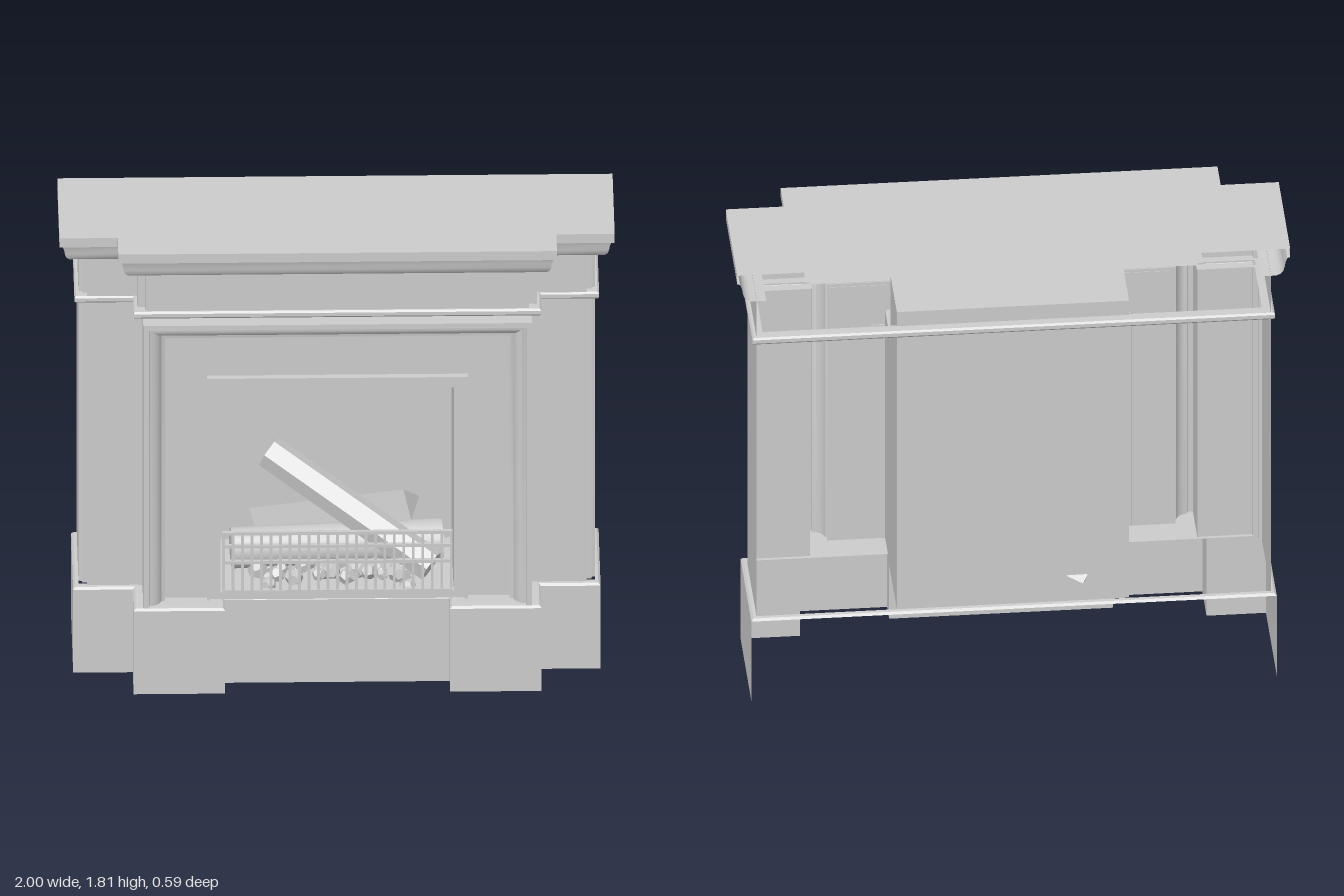
import * as THREE from 'three';
import { toCreasedNormals } from 'three/addons/utils/BufferGeometryUtils.js';

const grey = new THREE.MeshStandardMaterial({ color: 0xcccccc, side: THREE.DoubleSide });

// Ways of placing a swept point: a, b along the path plane, h across it
const PLAN = (a, b, h) => [a, h, b];
const FRONT = (a, b, h) => [a, b, h];
const SIDE = (a, b, h) => [h, b, a];

// Sweep a profile of [outward offset, height] along a mitred path
function sweep(path, profile, place, closed = false) {
  const n = path.length;
  const normal = (i) => {
    const p = path[(i + n) % n], q = path[(i + 1 + n) % n];
    const l = Math.hypot(q[0] - p[0], q[1] - p[1]);
    return [(q[1] - p[1]) / l, (p[0] - q[0]) / l];
  };
  const rings = path.map((p, i) => {
    const u = normal(!closed && i === 0 ? 0 : i - 1);
    const v = normal(!closed && i === n - 1 ? n - 2 : i);
    const k = 1 / (1 + u[0] * v[0] + u[1] * v[1]);
    const m = [(u[0] + v[0]) * k, (u[1] + v[1]) * k];
    return profile.map(([o, h]) => place(p[0] + m[0] * o, p[1] + m[1] * o, h));
  });
  const pos = [];
  for (let i = 0; i < (closed ? n : n - 1); i++) {
    const r = rings[i], s = rings[(i + 1) % n];
    for (let j = 0; j < profile.length - 1; j++) {
      pos.push(...r[j], ...r[j + 1], ...s[j], ...s[j], ...r[j + 1], ...s[j + 1]);
    }
  }
  const g = new THREE.BufferGeometry();
  g.setAttribute('position', new THREE.Float32BufferAttribute(pos, 3));
  return toCreasedNormals(g, 0.6);
}

const flip = (pts) => pts.map(([x, z]) => [-x, z]).reverse();
const mirrored = (pts) => [...pts, ...flip(pts)];
const shapeOf = (pts) => new THREE.Shape(pts.map(([x, y]) => new THREE.Vector2(x, y)));

// Flat horizontal sheet from a plan outline
const sheet = (pts, y) =>
  new THREE.ShapeGeometry(shapeOf(pts.map(([x, z]) => [x, -z]))).rotateX(-Math.PI / 2).translate(0, y, 0);

export function createModel() {
  const model = new THREE.Group();
  const add = (name, geometry, parent = model) => {
    const mesh = new THREE.Mesh(geometry, grey);
    mesh.name = name;
    parent.add(mesh);
    return mesh;
  };
  const box = (name, w, h, d, x, y, z, parent) =>
    add(name, new THREE.BoxGeometry(w, h, d).translate(x, y, z), parent);

  // Plinth with projecting blocks and a thin ledge all round
  const plinth = mirrored([[0.95, -0.295], [0.95, 0.13], [0.735, 0.13], [0.735, 0.295], [0.405, 0.295], [0.405, 0.215]]);
  add('plinth', sweep(plinth, [[0, 0], [0, 0.34]], PLAN));
  add('plinthLedge', sweep(plinth, [[0, 0.34], [-0.008, 0.348], [-0.02, 0.35]], PLAN, true));
  const blockTop = [[0.94, 0.1], [0.94, 0.12], [0.725, 0.12], [0.725, 0.285], [0.415, 0.285], [0.415, 0.1]];
  add('leftBlockTop', sheet(blockTop, 0.349));
  add('rightBlockTop', sheet(flip(blockTop), 0.349));

  // Side walls with rebated front corners
  const wing = [[0.93, -0.28], [0.93, 0.075], [0.918, 0.078], [0.918, 0.09], [0.9, 0.09], [0.9, 0.112], [0.7, 0.112]];
  const wall = [[0, 0.348], [0, 1.515]];
  add('leftWall', sweep(wing, wall, PLAN));
  add('rightWall', sweep(flip(wing), wall, PLAN));

  // Frieze and the band beneath it
  const frieze = mirrored([...wing.slice(0, 6), [0.72, 0.112], [0.72, 0.2], [0.69, 0.2], [0.69, 0.23]]);
  add('frieze', sweep(frieze, [[0, 1.51], [0, 1.7]], PLAN));
  const outline = mirrored([[0.935, -0.275], [0.935, 0.107], [0.725, 0.107], [0.725, 0.23]]);
  add('band', sweep(outline,
    [[-0.03, 1.51], [0.004, 1.51], [0.01, 1.517], [0.01, 1.531], [0.004, 1.538], [-0.03, 1.54]], PLAN, true));

  // Mantel shelf: rounded cornice, fascia and top
  const cornice = mirrored([[0.935, -0.28], [0.935, 0.105], [0.725, 0.105], [0.725, 0.23]]);
  add('cornice', sweep(cornice, [[-0.04, 1.695], [0.015, 1.695], [0.03, 1.702], [0.04, 1.714], [0.045, 1.73],
    [0.048, 1.75], [0.055, 1.768], [0.065, 1.77], [0.065, 1.807]], PLAN));
  add('mantelTop', sheet(mirrored([[1, -0.28], [1, 0.17], [0.79, 0.17], [0.79, 0.295]]), 1.807));

  // Moulded surround
  const surround = [[0.7, 0.348], [0.7, 1.508], [-0.7, 1.508], [-0.7, 0.348]];
  add('surroundMoulding', sweep(surround, [[-0.08, 0.208], [-0.08, 0.232], [-0.066, 0.236], [-0.06, 0.25],
    [-0.05, 0.262], [-0.035, 0.27], [-0.022, 0.272], [-0.02, 0.287], [0, 0.287], [0, 0.11]], FRONT));

  // Front panel with the fire opening
  const arch = (w, h) => [[-w, 0.348], [w, 0.348], [w, h], [-w, h]];
  const panel = shapeOf([[-0.63, 0.348], [-0.42, 0.348], [-0.42, 1.215], [0.42, 1.215],
    [0.42, 0.348], [0.63, 0.348], [0.63, 1.44], [-0.63, 1.44]]);
  add('frontPanel', new THREE.ShapeGeometry(panel).translate(0, 0, 0.21));

  // Stepped metal trim round the opening
  const trim = arch(0.47, 1.26);
  add('openingTrim', sweep([trim[1], trim[2], trim[3], trim[0]],
    [[-0.05, 0.205], [-0.05, 0.222], [-0.012, 0.222], [-0.012, 0.235], [0, 0.235], [0, 0.205]], FRONT));
  box('sill', 0.84, 0.03, 0.03, 0, 0.363, 0.21);

  // Firebox with a shallower flue above
  const fire = [[0.21, 0.335], [-0.25, 0.335], [-0.25, 1.6], [0, 1.6], [0, 1.32], [0.21, 1.32]];
  add('fireboxShell', sweep(fire, [[0, -0.42], [0, 0.42]], SIDE));
  for (const s of [-1, 1]) {
    const side = new THREE.ShapeGeometry(shapeOf(fire.map(([z, y]) => [-z, y])));
    add('fireboxSide', side.rotateY(Math.PI / 2).translate(s * 0.42, 0, 0));
  }

  // Fire grate
  const grate = new THREE.Group();
  grate.name = 'grate';
  model.add(grate);
  for (const y of [0.39, 0.51, 0.575, 0.628]) box('grateRail', 0.83, 0.012, 0.014, 0, y, 0.24, grate);
  for (let i = 0; i <= 24; i++) {
    box('grateBar', 0.01, 0.25, 0.01, -0.41 + i * 0.82 / 24, 0.505, 0.24, grate);
  }

  // Logs
  const log = (name, a, b, r, sides, twist) => {
    const p = new THREE.Vector3(...a), q = new THREE.Vector3(...b);
    const g = new THREE.CylinderGeometry(r, r, p.distanceTo(q), sides).toNonIndexed();
    const mesh = add(name, toCreasedNormals(g.rotateY(twist), 0.6));
    mesh.position.copy(p).lerp(q, 0.5);
    mesh.quaternion.setFromUnitVectors(new THREE.Vector3(0, 1, 0), q.sub(p).normalize());
  };
  log('leaningLog', [-0.24, 0.77, -0.11], [0.34, 0.45, 0.17], 0.062, 6, 0.3);
  log('splitLog', [-0.28, 0.43, -0.215], [0.27, 0.63, 0.02], 0.068, 3, 0.5);
  log('roundLog', [-0.38, 0.47, 0.06], [0.38, 0.47, 0.0], 0.075, 16, 0);

  // Coals
  let seed = 7;
  const rnd = () => (seed = (seed * 16807) % 2147483647) / 2147483647;
  for (let i = 0; i < 45; i++) {
    const coal = add('coal', new THREE.DodecahedronGeometry(0.02 + rnd() * 0.018));
    coal.position.set((rnd() - 0.5) * 0.6, 0.365 + rnd() * 0.06, 0.02 + rnd() * 0.16);
    coal.rotation.set(rnd() * 3, rnd() * 3, 0);
  }

  return model;
}
